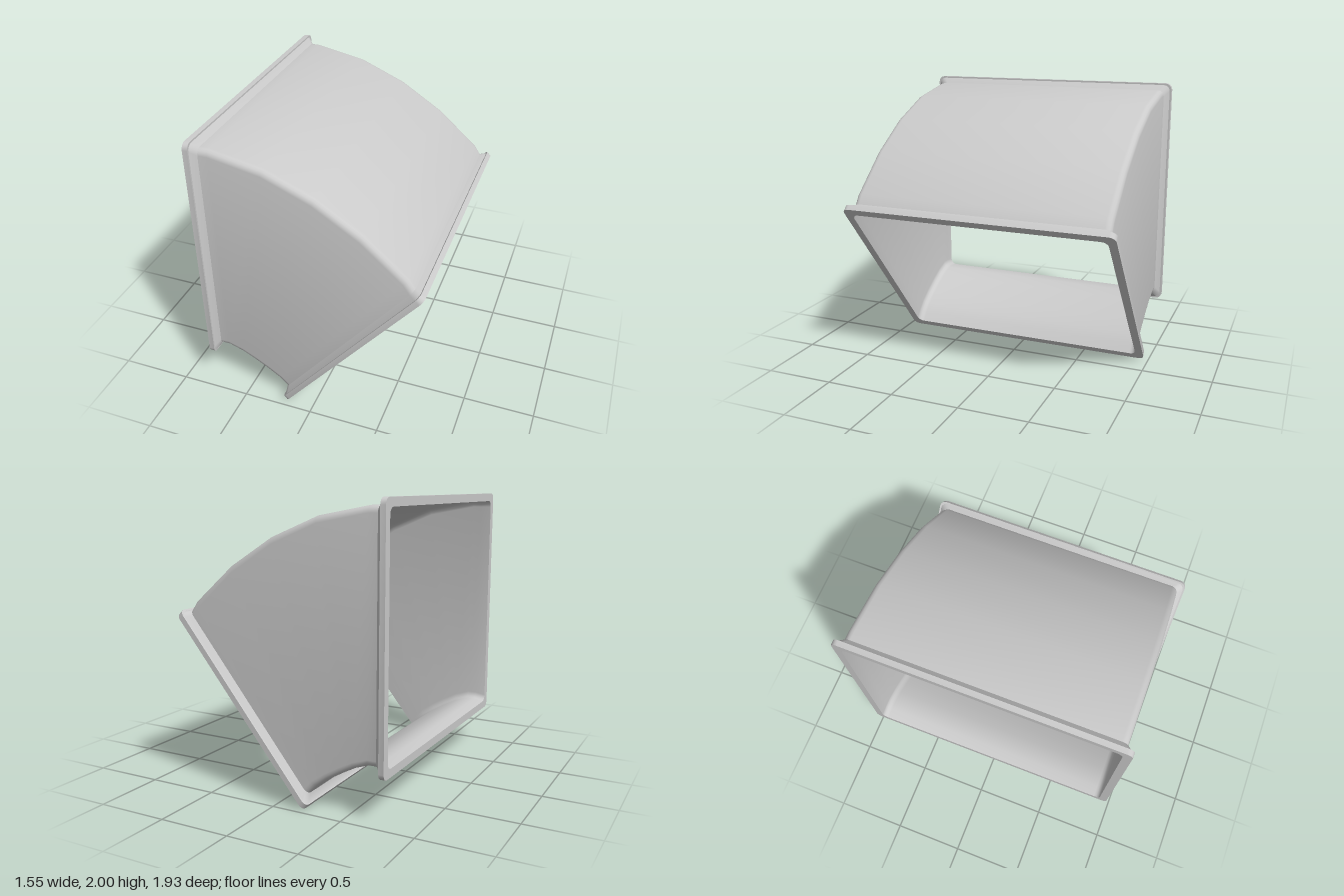
import * as THREE from 'three';
import { toCreasedNormals } from 'three/addons/utils/BufferGeometryUtils.js';

const CORNER_STEPS = 4;

// Rounded rectangular ring between an upper and a lower point, half-width w along z.
// inset moves the whole ring inwards.
function ring([tx, ty, bx, by, w], inset = 0, radius = 0.045) {
  const top = new THREE.Vector3(tx, ty, 0), bottom = new THREE.Vector3(bx, by, 0);
  const centre = top.clone().add(bottom).multiplyScalar(0.5);
  const up = top.clone().sub(bottom);
  const h = up.length() / 2 - inset, hw = w - inset;
  up.normalize();
  const points = [];
  [[1, 1], [-1, 1], [-1, -1], [1, -1]].forEach(([su, sz], corner) => {
    for (let k = 0; k <= CORNER_STEPS; k++) {
      const a = (corner + k / CORNER_STEPS) * Math.PI / 2;
      const u = su * (h - radius) + radius * Math.cos(a);
      const z = sz * (hw - radius) + radius * Math.sin(a);
      points.push(centre.clone().addScaledVector(up, u).setZ(z));
    }
  });
  // each corner starts on the side its arc begins from
  return points;
}

// Skin a series of rings
function loft(name, rings, material) {
  const n = rings[0].length, index = [];
  const positions = rings.flat().flatMap(p => [p.x, p.y, p.z]);
  for (let i = 0; i < rings.length - 1; i++) {
    for (let j = 0; j < n; j++) {
      const a = i * n + j, b = i * n + (j + 1) % n;
      index.push(a, b, a + n, b, b + n, a + n);
    }
  }
  const geometry = new THREE.BufferGeometry();
  geometry.setAttribute('position', new THREE.Float32BufferAttribute(positions, 3));
  geometry.setIndex(index);
  const mesh = new THREE.Mesh(toCreasedNormals(geometry, 0.6), material);
  mesh.name = name;
  return mesh;
}

export function createModel() {
  const group = new THREE.Group();
  group.name = 'ductBend';
  const material = new THREE.MeshStandardMaterial({ color: 0xcccccc, side: THREE.DoubleSide });

  // Bend sections: upper x, y, lower x, y, half-width
  const W = 0.92, FW = 0.967, WALL = 0.01, LIP = 0.057;
  const body = [
    [-0.706, 1.952, -0.706, 0.36, W],
    [-0.643, 1.952, -0.643, 0.36, W],
    [-0.283, 1.884, -0.545, 0.325, W],
    [0.05, 1.746, -0.452, 0.275, W],
    [0.362, 1.55, -0.36, 0.22, W],
    [0.653, 1.296, -0.272, 0.159, W],
    [0.696, 1.233, -0.214, 0.1, W],
  ];
  // Flange sections: face and back of each rim
  const startFace = [-0.78, 2, -0.78, 0.3, FW];
  const startBack = [-0.743, 2, -0.743, 0.3, FW];
  const endFace = [0.773, 1.208, -0.202, 0.005, FW];
  const endBack = [0.745, 1.237, -0.226, 0.035, FW];

  const first = body[0], last = body[body.length - 1];

  // Thin-walled bend, outside and inside
  group.add(loft('ductOuterWall', body.map(s => ring(s)), material));
  group.add(loft('ductInnerWall', [
    ring(endFace, LIP),
    ...body.slice().reverse().map(s => ring(s, WALL)),
    ring(startFace, LIP),
  ], material));

  // Flanges: flat face, rim and sloped neck
  group.add(loft('verticalFlange', [
    ring(startFace, LIP), ring(startFace), ring(startBack), ring(startBack, 0.012), ring(first),
  ], material));
  group.add(loft('slantedFlange', [
    ring(last), ring(endBack, 0.012), ring(endBack), ring(endFace), ring(endFace, LIP),
  ], material));

  return group;
}
